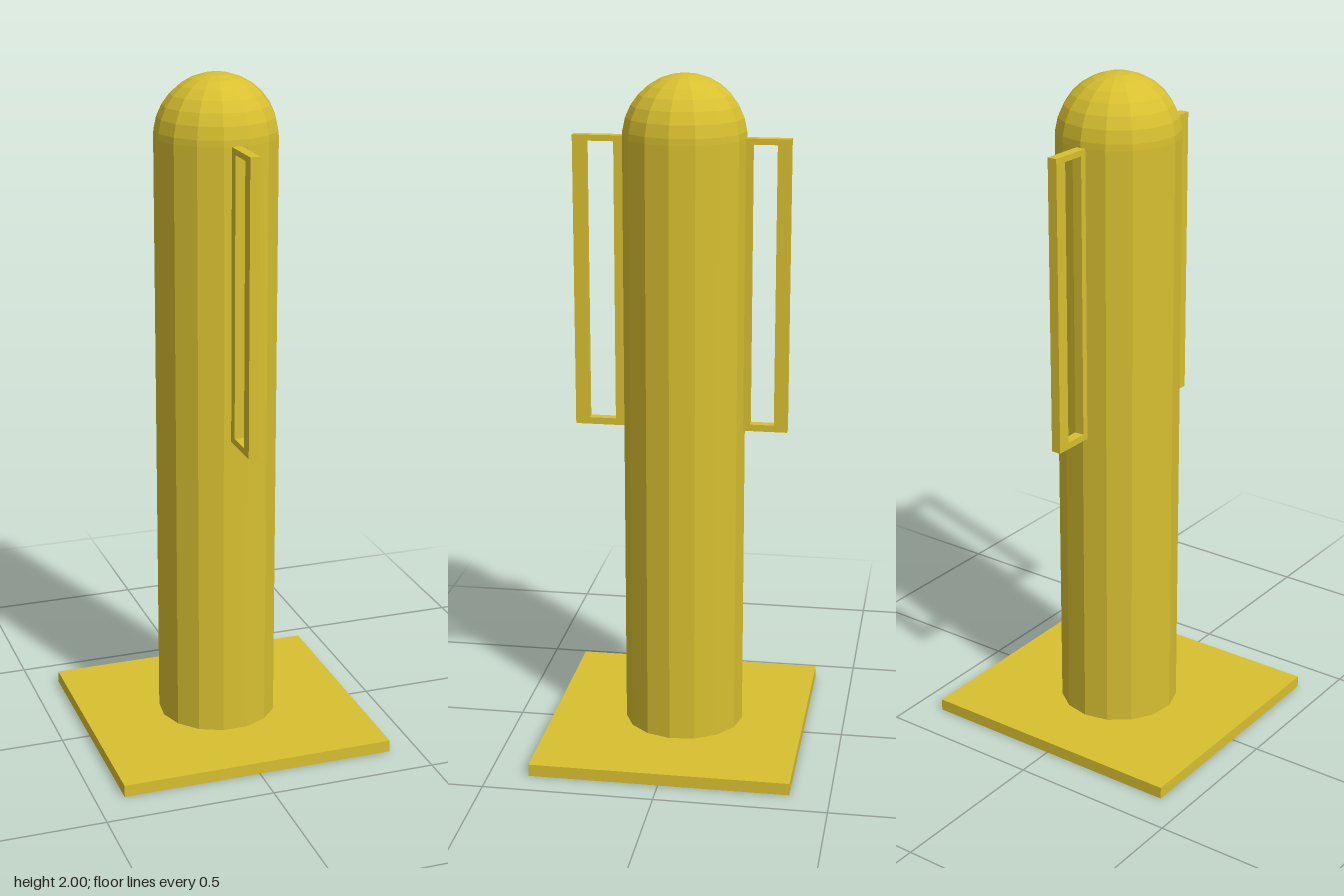
import * as THREE from 'three';

const R = 0.1785, SIDES = 15, POST_Z = -0.0145, DOME_Y = 1.8215, BASE_H = 0.036;

export function createModel() {
  const model = new THREE.Group();
  model.name = 'bollard';
  const paint = new THREE.MeshStandardMaterial({ color: 0xd8c030, flatShading: true });

  const add = (name, geometry, x, y, z) => {
    const mesh = new THREE.Mesh(geometry, paint);
    mesh.name = name;
    mesh.position.set(x, y, z);
    model.add(mesh);
    return mesh;
  };

  // Flat base plate
  add('basePlate', new THREE.BoxGeometry(0.828, BASE_H, 0.766), 0, BASE_H / 2, 0);

  // Faceted post, with a corner pointing to the back
  const postH = DOME_Y - BASE_H;
  add('post', new THREE.CylinderGeometry(R, R, postH, SIDES, 1, true, Math.PI),
    0, BASE_H + postH / 2, POST_Z);

  // Domed cap: rings every 12 degrees down to the rim
  const profile = [new THREE.Vector2(R, 0)];
  for (let i = 7; i >= 0; i--) {
    const a = THREE.MathUtils.degToRad(i * 12);
    profile.push(new THREE.Vector2(R * Math.sin(a), R * Math.cos(a)));
  }
  add('domeCap', new THREE.LatheGeometry(profile, SIDES, Math.PI), 0, DOME_Y, POST_Z);

  // Rectangular loop handles; each frame spans zMin..zMax with a window cut out
  const thickness = 0.029, yMin = 0.963, yMax = 1.822;
  const rect = (target, z0, z1, y0, y1) => {
    target.moveTo(z0, y0).lineTo(z1, y0).lineTo(z1, y1).lineTo(z0, y1).closePath();
    return target;
  };
  const addHandle = (name, zMin, zMax, holeMin, holeMax) => {
    const frame = rect(new THREE.Shape(), zMin, zMax, yMin, yMax);
    frame.holes.push(rect(new THREE.Path(), holeMin, holeMax, yMin + 0.02, yMax - 0.017));
    const geometry = new THREE.ExtrudeGeometry(frame, { depth: thickness, bevelEnabled: false });
    geometry.translate(0, 0, -thickness / 2);
    geometry.rotateY(-Math.PI / 2); // shape x becomes z
    add(name, geometry, 0, 0, 0);
  };
  addHandle('frontHandle', 0.15, 0.31, 0.19, 0.27);
  addHandle('backHandle', -0.319, -0.17, -0.28, -0.209);

  return model;
}
